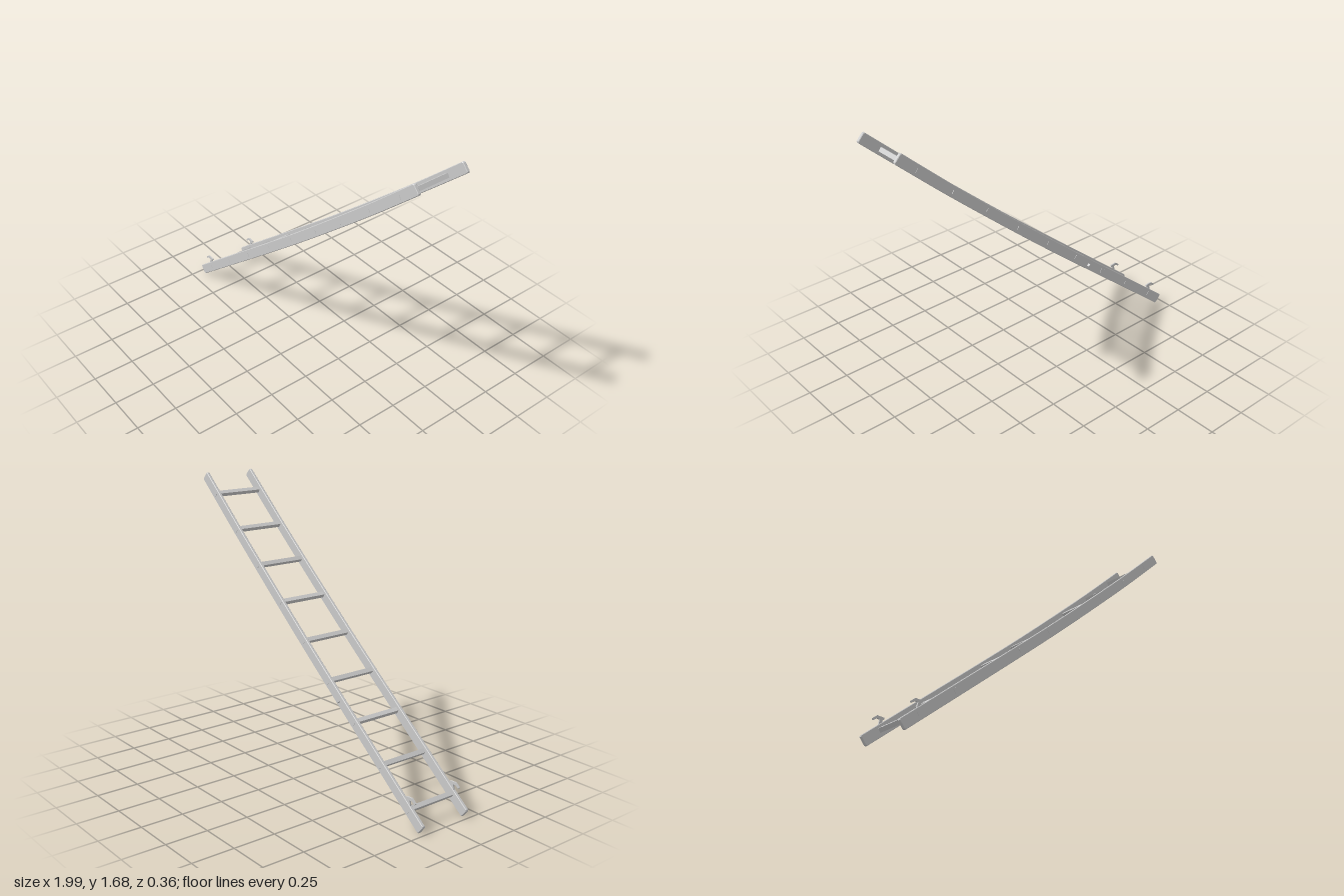
import * as THREE from 'three';

const material = new THREE.MeshStandardMaterial({ color: 0xcccccc, flatShading: true });

// Gently bowed centre line shared by both rails
const spine = new THREE.CatmullRomCurve3([
  [-0.979, 0.025], [-0.66, 0.284], [-0.22, 0.642], [0, 0.823],
  [0.22, 1.008], [0.65, 1.378], [0.975, 1.669],
].map(([x, y]) => new THREE.Vector3(x, y, 0)));

// Rails converge slightly and lean sideways: z depends on x
const frontZ = (x) => 0.1565 - 0.0095 * x;
const backZ = (x) => -0.1625 - 0.0075 * x;

function addMesh(parent, name, geometry) {
  const mesh = new THREE.Mesh(geometry, material);
  mesh.name = name;
  parent.add(mesh);
  return mesh;
}

// Outline of a rail with worn, chamfered end corners
function railShape() {
  const half = 0.031, chamfer = 0.007, n = 24;
  const upper = [], lower = [];
  for (let i = 0; i <= n; i++) {
    const p = spine.getPointAt(i / n), t = spine.getTangentAt(i / n);
    const side = (h, along) => new THREE.Vector2(p.x - t.y * h + t.x * along, p.y + t.x * h + t.y * along);
    const end = i === 0 ? -1 : i === n ? 1 : 0;
    if (!end) {
      upper.push(side(half, 0));
      lower.push(side(-half, 0));
      continue;
    }
    const edge = [[half, -end * chamfer], [half - chamfer, 0]];
    if (end < 0) edge.reverse();
    for (const [h, a] of edge) {
      upper.push(side(h, a));
      lower.push(side(-h, a));
    }
  }
  return new THREE.Shape([...lower, ...upper.reverse()]);
}

function addRail(parent, name, zAt) {
  const depth = 0.013, bevel = 0.003;
  const geometry = new THREE.ExtrudeGeometry(railShape(), {
    depth, bevelEnabled: true, bevelThickness: bevel, bevelSize: bevel, bevelOffset: -bevel, bevelSegments: 1,
  });
  const pos = geometry.attributes.position;
  for (let i = 0; i < pos.count; i++) {
    pos.setZ(i, pos.getZ(i) - depth / 2 + zAt(pos.getX(i)));
  }
  geometry.computeVertexNormals();
  addMesh(parent, name, geometry);
}

// Bent hook standing on the upper edge of a rail
function hookGeometry() {
  const shape = new THREE.Shape([
    [-0.897, 0.118], [-0.875, 0.128], [-0.872, 0.160], [-0.859, 0.169], [-0.862, 0.178],
    [-0.905, 0.181], [-0.932, 0.159], [-0.926, 0.150], [-0.903, 0.166], [-0.888, 0.163],
  ].map(([x, y]) => new THREE.Vector2(x, y)));
  return new THREE.ExtrudeGeometry(shape, { depth: 0.009, bevelEnabled: false }).translate(0, 0, -0.0045);
}

export function createModel() {
  const ladder = new THREE.Group();
  ladder.name = 'ladder';

  addRail(ladder, 'frontRail', frontZ);
  addRail(ladder, 'backRail', backZ);

  // Square rungs, tenoned through both rails
  const rungs = [
    [-0.88, 0.108], [-0.66, 0.285], [-0.44, 0.464], [-0.22, 0.645], [0, 0.826],
    [0.22, 1.01], [0.435, 1.193], [0.65, 1.377], [0.862, 1.567],
  ];
  rungs.forEach(([x, y], i) => {
    const z0 = backZ(x) - 0.0115, z1 = frontZ(x) + 0.0115;
    const rung = addMesh(ladder, `rung${i + 1}`, new THREE.BoxGeometry(0.026, 0.025, z1 - z0));
    rung.position.set(x, y, (z0 + z1) / 2);
    rung.rotation.z = 0.68 + 0.12 * Math.sin(i * 2.3);
  });

  // Hooks near the foot
  for (const [name, zAt] of [['frontHook', frontZ], ['backHook', backZ]]) {
    addMesh(ladder, name, hookGeometry()).position.z = zAt(-0.89);
  }

  // Small peg on the outside of the back rail
  const peg = addMesh(ladder, 'peg', new THREE.BoxGeometry(0.015, 0.015, 0.028));
  peg.position.set(-0.32, 0.556, backZ(-0.32) - 0.011);
  peg.rotation.z = 0.68;

  return ladder;
}
